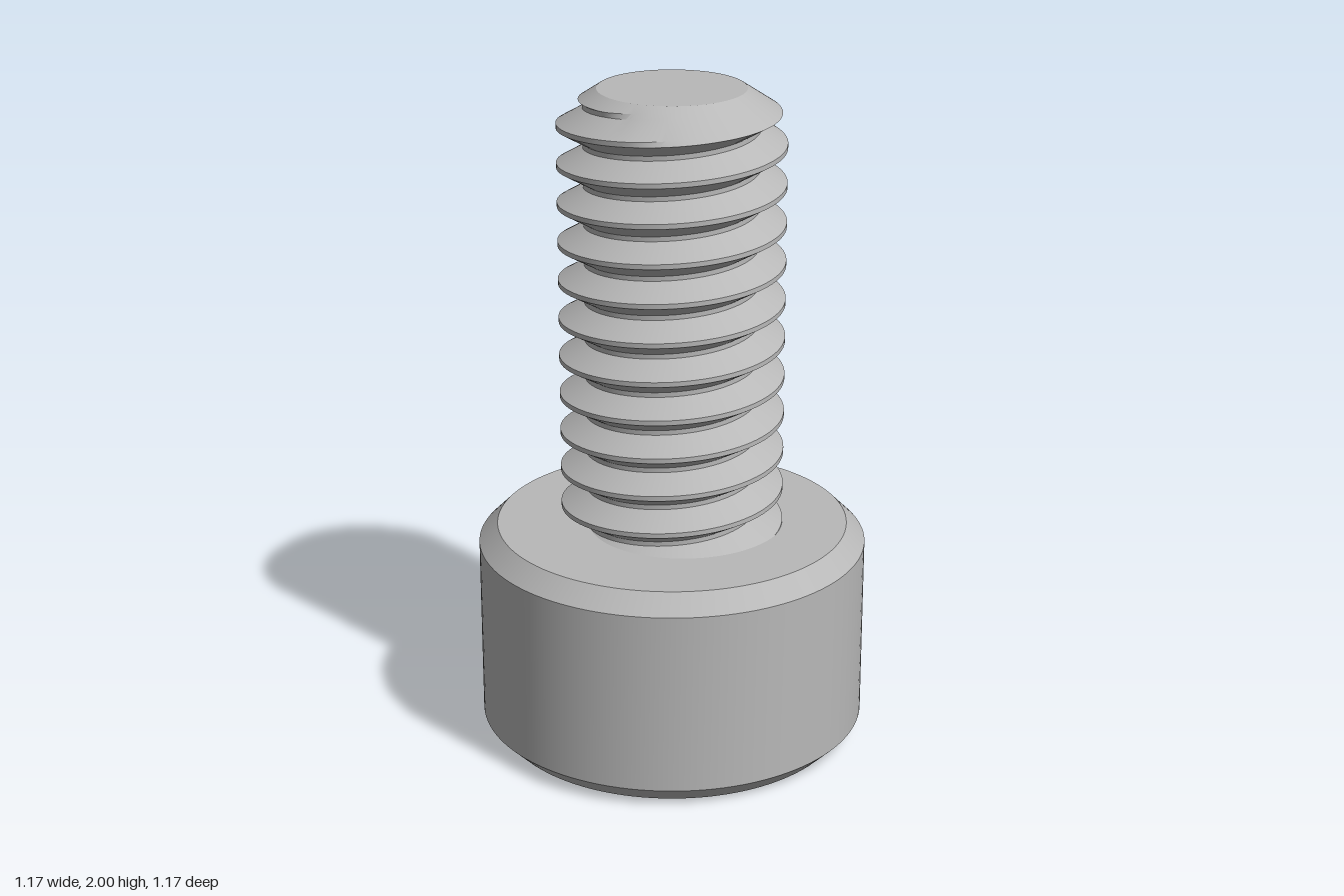
import * as THREE from 'three';
import { toCreasedNormals } from 'three/addons/utils/BufferGeometryUtils.js';

const SEGMENTS = 120;
const TOTAL_H = 2, HEAD_H = 0.667, HEAD_R = 0.583, BEVEL = 0.056;
const HEX_APOTHEM = 0.25, HEX_CORNER = HEX_APOTHEM / Math.cos(Math.PI / 6), HEX_DEPTH = 0.333;
const PITCH = 0.1167, CREST_R = 0.333, ROOT_R = 0.257, TIP_R = 0.216, TIP_SLOPE = 0.66;

// Surface swept round the y axis; profile(angle) gives [radius, y] rows, angle 0 faces +z
function sweep(profile) {
  const columns = [];
  for (let i = 0; i <= SEGMENTS; i++) {
    const a = (i / SEGMENTS) * Math.PI * 2;
    columns.push(profile(a).map(([r, y]) => new THREE.Vector3(r * Math.sin(a), y, r * Math.cos(a))));
  }
  const positions = [];
  const triangle = (a, b, c) => {
    if (new THREE.Triangle(a, b, c).getArea() < 1e-8) return;
    for (const p of [a, b, c]) positions.push(p.x, p.y, p.z);
  };
  for (let i = 0; i < SEGMENTS; i++) {
    const left = columns[i], right = columns[i + 1];
    for (let j = 0; j < left.length - 1; j++) {
      triangle(left[j], right[j], right[j + 1]);
      triangle(left[j], right[j + 1], left[j + 1]);
    }
  }
  const geometry = new THREE.BufferGeometry();
  geometry.setAttribute('position', new THREE.Float32BufferAttribute(positions, 3));
  return toCreasedNormals(geometry, 0.5);
}

// Cylindrical head with bevelled rims, open at the socket
const headProfile = () => [
  [HEX_CORNER, 0], [HEAD_R - BEVEL, 0], [HEAD_R, BEVEL],
  [HEAD_R, HEAD_H - BEVEL], [HEAD_R - BEVEL, HEAD_H], [0, HEAD_H],
];

// Hexagonal recess whose mouth is cut by a 45 degree countersink
function socketProfile(angle) {
  const third = Math.PI / 3;
  const r = HEX_APOTHEM / Math.cos((angle % third) - third / 2);
  return [[0, HEX_DEPTH], [r, HEX_DEPTH], [r, HEX_CORNER - r], [HEX_CORNER, 0]];
}

// Right-hand helical thread, trimmed by the cone at the tip
function threadProfile(angle) {
  const depth = CREST_R - ROOT_R;
  const flank = depth * Math.tan(Math.PI / 6);
  const halfCrest = PITCH / 16;
  const coneR = (y) => TIP_R + (TOTAL_H - y) / TIP_SLOPE;
  const rows = [];
  const add = (r, y) => {
    const yc = Math.min(y, TOTAL_H);
    rows.push([Math.min(r, coneR(yc)), yc]);
  };
  for (let turn = -11; turn <= 3; turn++) {
    const crestY = 1.822 + PITCH * (turn + angle / (Math.PI * 2));
    const y0 = crestY - halfCrest - flank;
    // The lower flank stops where it meets the cone
    const meet = (coneR(y0) - ROOT_R) / (depth + flank / TIP_SLOPE);
    const t = THREE.MathUtils.clamp(meet, 0, 1);
    add(ROOT_R, y0);
    add(ROOT_R + depth * t, y0 + flank * t);
    add(CREST_R, crestY + halfCrest);
    add(ROOT_R, crestY + halfCrest + flank);
  }
  rows.push([TIP_R, TOTAL_H], [0, TOTAL_H]);
  return rows;
}

export function createModel() {
  const steel = new THREE.MeshStandardMaterial({ color: 0xb8b8b8 });
  steel.name = 'steel grey';
  const model = new THREE.Group();
  model.name = 'socketHeadScrew';
  const parts = { head: headProfile, hexSocket: socketProfile, threadedShank: threadProfile };
  for (const [name, profile] of Object.entries(parts)) {
    const mesh = new THREE.Mesh(sweep(profile), steel);
    mesh.name = name;
    model.add(mesh);
  }
  return model;
}
